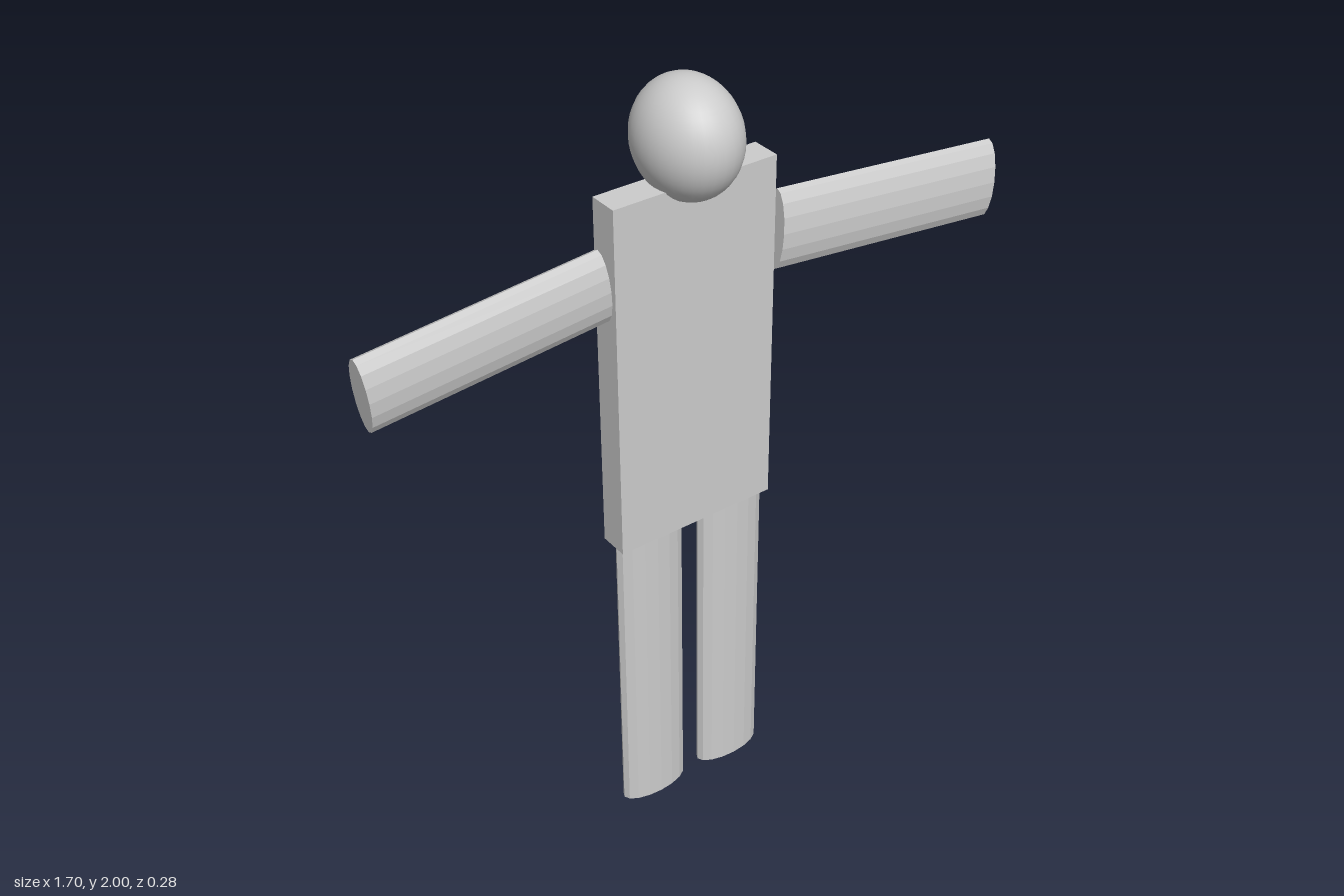
import * as THREE from 'three';

const smooth = new THREE.MeshStandardMaterial({ color: 0xcccccc });
const faceted = new THREE.MeshStandardMaterial({ color: 0xcccccc, flatShading: true });

// Flattened cylinder from start to end; "wide" is the direction of its broad side
function makeLimb(name, start, end, wide, wideRadius, thinRadius) {
  const a = new THREE.Vector3(...start);
  const b = new THREE.Vector3(...end);
  const axis = b.clone().sub(a);
  const length = axis.length();
  axis.normalize();
  const x = new THREE.Vector3(...wide);
  x.addScaledVector(axis, -x.dot(axis)).normalize();
  const z = new THREE.Vector3().crossVectors(x, axis);

  const geometry = new THREE.CylinderGeometry(1, 1, length, 16);
  geometry.scale(wideRadius, 1, thinRadius);
  const limb = new THREE.Mesh(geometry, faceted);
  limb.name = name;
  limb.quaternion.setFromRotationMatrix(new THREE.Matrix4().makeBasis(x, axis, z));
  limb.position.copy(a).add(b).multiplyScalar(0.5);
  return limb;
}

export function createModel() {
  const model = new THREE.Group();
  model.name = 'figure';

  // Egg-shaped head, sunk slightly into the torso
  const head = new THREE.Mesh(new THREE.SphereGeometry(1, 32, 24), smooth);
  head.name = 'head';
  head.scale.set(0.118, 0.141, 0.141);
  head.position.set(-0.028, 1.859, 0);
  model.add(head);

  // Flat slab torso
  const torso = new THREE.Mesh(new THREE.BoxGeometry(0.436, 0.918, 0.077), faceted);
  torso.name = 'torso';
  torso.position.set(-0.028, 1.308, -0.002);
  model.add(torso);

  // Legs
  const legs = [['rightLeg', -0.144], ['leftLeg', 0.096]];
  for (const [name, x] of legs) {
    model.add(makeLimb(name, [x, 0, -0.002], [x, 0.85, -0.002], [1, 0, 0], 0.094, 0.038));
  }

  // Arms: slightly drooping, the left one swung a little forward
  model.add(makeLimb('rightArm', [-0.253, 1.569, -0.004], [-0.844, 1.516, -0.004], [0, 1, 0], 0.092, 0.037));
  model.add(makeLimb('leftArm', [0.212, 1.561, 0.009], [0.843, 1.511, 0.037], [0, 1, -0.06], 0.1, 0.036));

  return model;
}
